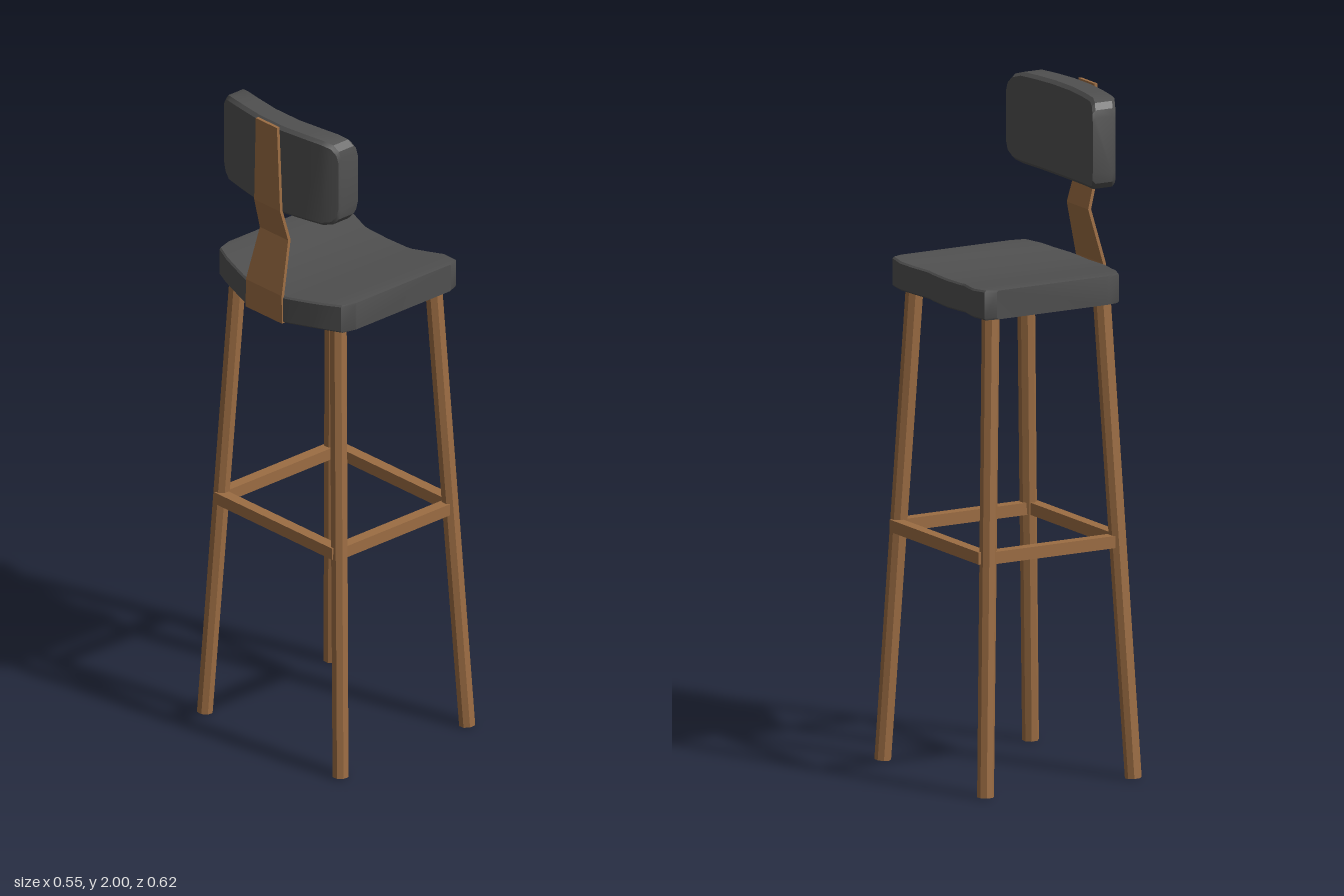
import * as THREE from 'three';
import { toCreasedNormals } from 'three/addons/utils/BufferGeometryUtils.js';

// Skin a closed solid over a list of equal-length rings, with flat end caps
function loft(rings, crease) {
  const n = rings[0].length, pos = rings.flat(2), index = [];
  for (let r = 0; r < rings.length - 1; r++) {
    for (let i = 0; i < n; i++) {
      const a = r * n + i, b = r * n + (i + 1) % n;
      index.push(a, b, a + n, b, b + n, a + n);
    }
  }
  const last = (rings.length - 1) * n;
  for (let i = 1; i < n - 1; i++) {
    index.push(0, i + 1, i, last, last + i, last + i + 1);
  }
  const g = new THREE.BufferGeometry();
  g.setAttribute('position', new THREE.Float32BufferAttribute(pos, 3));
  g.setIndex(index);
  return toCreasedNormals(g, crease);
}

// Cushion: rows of [z, back x, front x, bottom y, top y] for one half, mirrored in z
function cushion(half, bevel) {
  const rows = [...half.map(([z, ...r]) => [-z, ...r]), ...half.slice(0, -1).reverse()];
  return loft(rows.map(([z, xb, xf, yb, yt]) => [
    [xb + bevel, yb, z], [xf - bevel, yb, z], [xf, yb + bevel, z], [xf, yt - bevel, z],
    [xf - bevel, yt, z], [xb + bevel, yt, z], [xb, yt - bevel, z], [xb, yb + bevel, z],
  ]), 0.45);
}

export function createModel() {
  const model = new THREE.Group();
  const wood = new THREE.MeshStandardMaterial({ name: 'wood', color: 0x9c6d43 });
  const fabric = new THREE.MeshStandardMaterial({ name: 'charcoal fabric', color: 0x505050 });
  const add = (name, geometry, material) => {
    const mesh = new THREE.Mesh(geometry, material);
    mesh.name = name;
    model.add(mesh);
    return mesh;
  };

  // Seat, dished across its width, with a scooped front edge
  add('seat', cushion([
    [0.272, -0.17, 0.205, 1.402, 1.487],
    [0.258, -0.213, 0.238, 1.4, 1.488],
    [0.205, -0.237, 0.245, 1.399, 1.484],
    [0.16, -0.25, 0.232, 1.395, 1.479],
    [0.1, -0.268, 0.213, 1.39, 1.474],
    [0.077, -0.273, 0.213, 1.388, 1.472],
    [0, -0.273, 0.213, 1.385, 1.47],
  ], 0.005), fabric);

  // Curved back pad with rounded corners
  add('backrest', cushion([
    [0.243, -0.21, -0.134, 1.78, 1.95],
    [0.238, -0.213, -0.136, 1.755, 1.972],
    [0.223, -0.221, -0.143, 1.737, 1.99],
    [0.195, -0.235, -0.154, 1.729, 1.999],
    [0.13, -0.246, -0.165, 1.726, 2],
    [0.05, -0.256, -0.175, 1.722, 2],
    [0, -0.256, -0.175, 1.722, 2],
  ], 0.01), fabric);

  // Bent back support: rows of [y, outer x, half width]
  const t = 0.01;
  add('backSupport', loft([
    [1.387, -0.278, 0.077], [1.475, -0.278, 0.076], [1.635, -0.238, 0.06],
    [1.735, -0.265, 0.055], [2, -0.268, 0.045],
  ].map(([y, x, w]) => [[x + t, y, w], [x + t, y, -w], [x, y, -w], [x, y, w]]), 0.1), wood);

  // Four splayed eight-sided legs
  const up = new THREE.Vector3(0, 1, 0);
  for (const sx of [-1, 1]) {
    for (const sz of [-1, 1]) {
      const foot = new THREE.Vector3(0.005 + sx * 0.248, 0, sz * 0.288);
      const top = new THREE.Vector3(0.004 + sx * 0.186, 1.42, sz * 0.212);
      const axis = top.clone().sub(foot);
      const g = new THREE.CylinderGeometry(0.026, 0.0245, axis.length(), 8);
      g.rotateY(Math.PI / 8);
      const leg = add('leg', toCreasedNormals(g, 0.3), wood);
      leg.quaternion.setFromUnitVectors(up, axis.normalize());
      leg.position.copy(foot).add(top).multiplyScalar(0.5);
    }
  }

  // Footrest rails joining the legs
  for (const s of [-1, 1]) {
    add('sideRail', new THREE.BoxGeometry(0.44, 0.036, 0.034), wood)
      .position.set(0.006, 0.697, s * 0.25);
    add('crossRail', new THREE.BoxGeometry(0.034, 0.036, 0.5), wood)
      .position.set(0.006 + s * 0.23, 0.697, 0);
  }
  return model;
}
